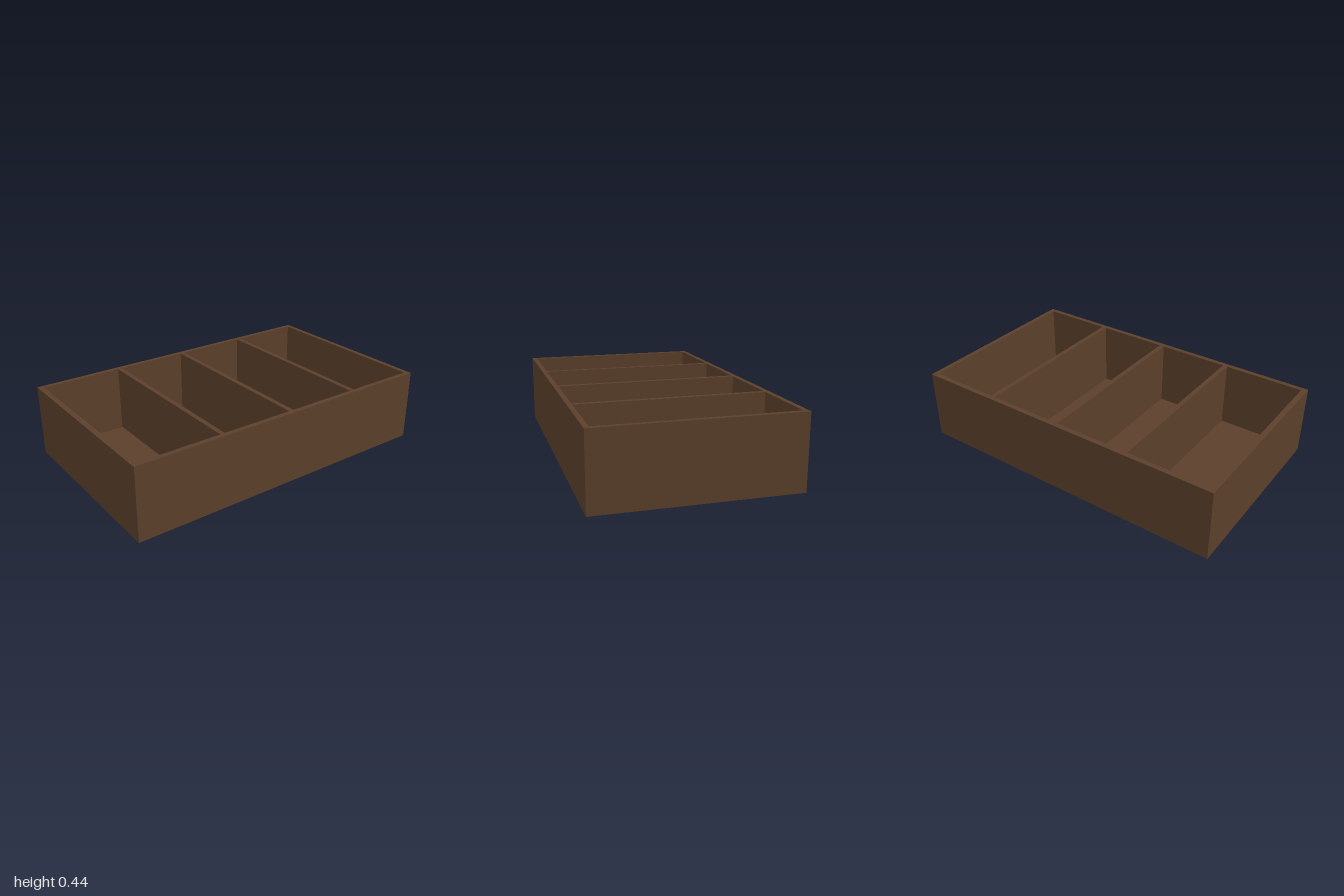
import * as THREE from 'three';

const W = 0.593, L = 1, H = 0.445; // half width, half length, height
const WALL = 0.03, FLOOR = 0.03;

// Traces a rectangle on a shape or path; depth z maps to -y before laying flat
function rect(path, x, z0, z1) {
  path.moveTo(-x, -z1);
  path.lineTo(x, -z1);
  path.lineTo(x, -z0);
  path.lineTo(-x, -z0);
  path.closePath();
  return path;
}

export function createModel() {
  const group = new THREE.Group();
  group.name = 'dividedTray';
  const wood = new THREE.MeshStandardMaterial({ color: 0x5c402b });
  wood.name = 'dark brown wood';

  // Outer walls and three flush dividers, cut as one frame with four openings
  const outline = rect(new THREE.Shape(), W, -L, L);
  const compartments = [[-0.97, -0.52], [-0.49, -0.04], [-0.01, 0.438], [0.467, 0.967]];
  for (const [z0, z1] of compartments) {
    outline.holes.push(rect(new THREE.Path(), W - WALL, z0, z1));
  }
  const frameGeometry = new THREE.ExtrudeGeometry(outline, { depth: H, bevelEnabled: false });
  frameGeometry.rotateX(-Math.PI / 2);
  const frame = new THREE.Mesh(frameGeometry, wood);
  frame.name = 'wallsAndDividers';
  group.add(frame);

  // Floor panel of each compartment
  for (const [z0, z1] of compartments) {
    const floor = new THREE.Mesh(new THREE.BoxGeometry(2 * (W - WALL), FLOOR, z1 - z0), wood);
    floor.position.set(0, FLOOR / 2, (z0 + z1) / 2);
    floor.name = 'compartmentFloor';
    group.add(floor);
  }
  return group;
}
